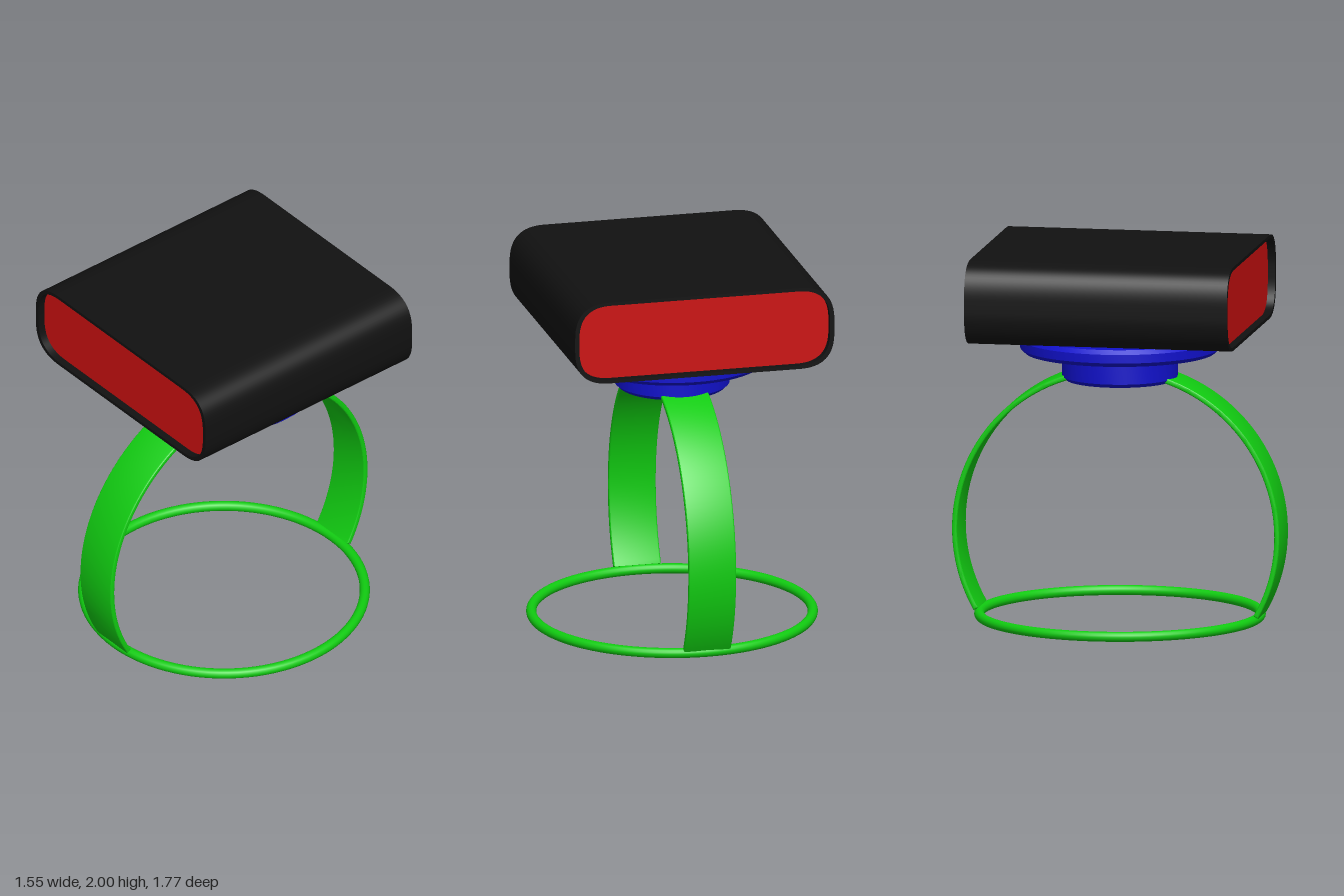
import * as THREE from 'three';
import { toCreasedNormals } from 'three/addons/utils/BufferGeometryUtils.js';

const paint = (color) => new THREE.MeshStandardMaterial({ color });
const black = paint(0x111111), red = paint(0xcc1111), blue = paint(0x1111cc), green = paint(0x11cc11);

// Rounded rectangle with soft, slightly squarish corners, centred on the origin
function softRect(target, w, h, r) {
  const k = r * 0.32; // distance of the curve handles from the corner
  target.moveTo(w, -h + r);
  target.lineTo(w, h - r);
  target.bezierCurveTo(w, h - k, w - k, h, w - r, h);
  target.lineTo(-w + r, h);
  target.bezierCurveTo(-w + k, h, -w, h - k, -w, h - r);
  target.lineTo(-w, -h + r);
  target.bezierCurveTo(-w, -h + k, -w + k, -h, -w + r, -h);
  target.lineTo(w - r, -h);
  target.bezierCurveTo(w - k, -h, w, -h + k, w, -h + r);
  return target;
}

// Extrusion centred on its depth
function slab(shape, depth, options = {}) {
  const geo = new THREE.ExtrudeGeometry(shape, { depth, bevelEnabled: false, curveSegments: 16, ...options });
  geo.translate(0, 0, -depth / 2);
  return toCreasedNormals(geo, 0.5);
}

// Chamfered disc, or ring when inner > 0, between heights y0 and y1
function disc(inner, outer, y0, y1, c) {
  const pts = [[inner, y0], [outer - c, y0], [outer, y0 + c], [outer, y1 - c], [outer - c, y1], [inner, y1]];
  if (inner > 0) pts.push([inner, y0]);
  const geo = new THREE.LatheGeometry(pts.map(([x, y]) => new THREE.Vector2(x, y)), 64);
  return toCreasedNormals(geo, 0.5);
}

export function createModel() {
  const model = new THREE.Group();
  const add = (name, geometry, material, y = 0) => {
    const mesh = new THREE.Mesh(geometry, material);
    mesh.name = name;
    mesh.position.y = y;
    model.add(mesh);
    return mesh;
  };

  // Head: a black sleeve open at both ends with a recessed red core
  const sleeve = softRect(new THREE.Shape(), 0.71, 0.225, 0.19);
  sleeve.holes.push(softRect(new THREE.Path(), 0.687, 0.207, 0.175));
  add('headSleeve', slab(sleeve, 1.42), black, 1.775);
  add('headCore', slab(softRect(new THREE.Shape(), 0.69, 0.21, 0.175), 1.34), red, 1.775);

  // Mount: wide plate over a hollow collar
  add('mountPlate', disc(0, 0.53, 1.44, 1.53, 0.022), blue);
  add('mountCollar', disc(0.22, 0.307, 1.29, 1.43, 0.02), blue);

  // Arched band running front to back
  const outer = 0.885, inner = 0.856, start = -0.52, bevel = 0.01;
  const arc = new THREE.Shape();
  arc.absarc(0, 0, outer, start, Math.PI - start, false);
  arc.absarc(0, 0, inner, Math.PI - start, start, true);
  const band = slab(arc, 0.26 - 2 * bevel, {
    curveSegments: 72, bevelEnabled: true, bevelSize: bevel, bevelOffset: -bevel,
    bevelThickness: bevel, bevelSegments: 3,
  });
  band.rotateY(Math.PI / 2);
  add('archBand', band, green, 0.48);

  // Base hoop on the ground
  const hoop = new THREE.TorusGeometry(0.748, 0.027, 16, 96);
  hoop.rotateX(Math.PI / 2);
  add('baseHoop', hoop, green, 0.027);

  return model;
}
